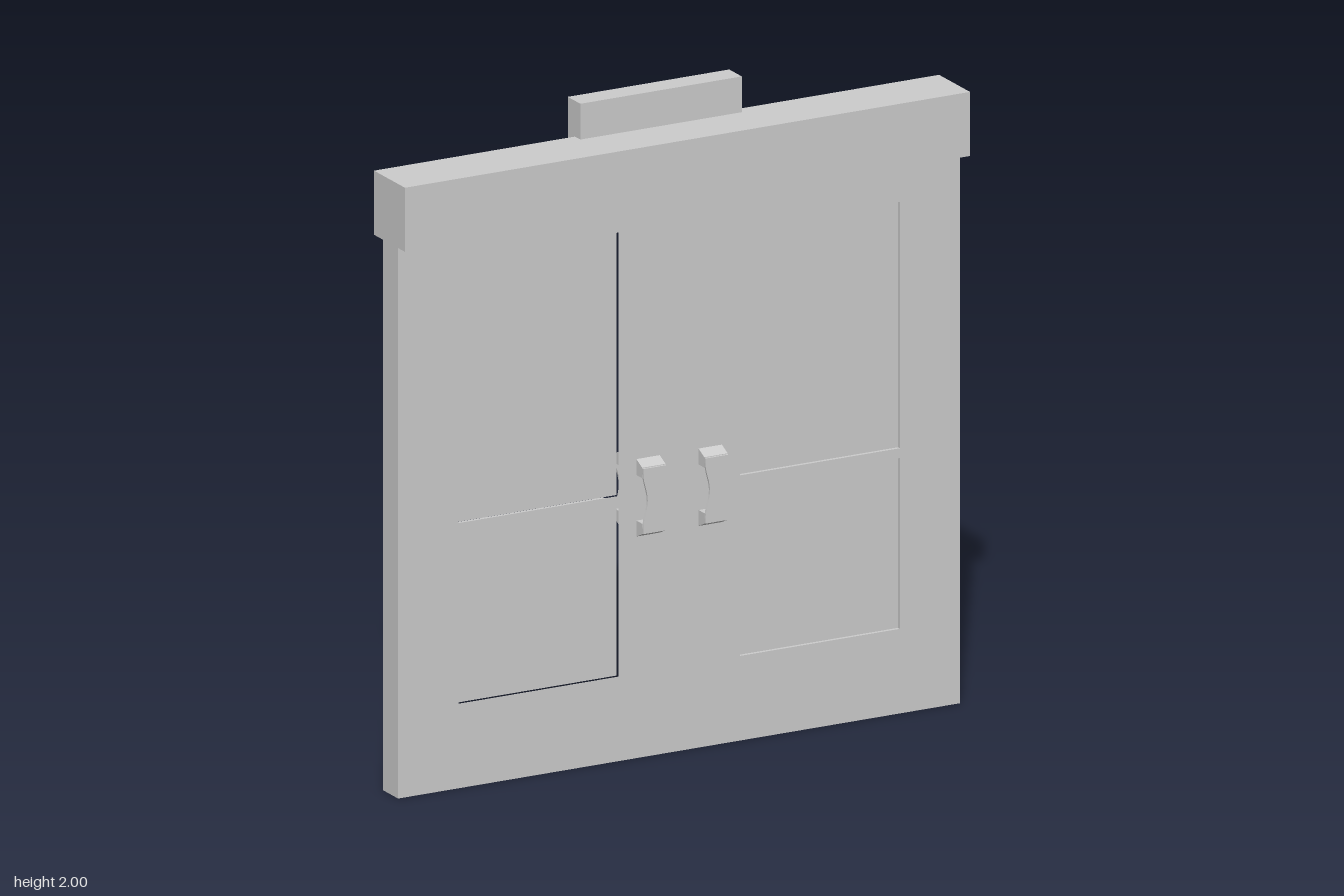
import * as THREE from 'three';

const material = new THREE.MeshStandardMaterial({ color: 0xcccccc, flatShading: true });

const BACK = -0.022, FRONT = 0.07, RECESS = 0.011, AXIS = -0.003;

function add(parent, name, geometry) {
  const mesh = new THREE.Mesh(geometry, material);
  mesh.name = name;
  parent.add(mesh);
  return mesh;
}

// Box given by its lower and upper corners
function box(parent, name, [x0, y0, z0], [x1, y1, z1]) {
  const mesh = add(parent, name, new THREE.BoxGeometry(x1 - x0, y1 - y0, z1 - z0));
  mesh.position.set((x0 + x1) / 2, (y0 + y1) / 2, (z0 + z1) / 2);
  return mesh;
}

function extrude(points, depth, holes = []) {
  const vectors = (list) => list.map(([x, y]) => new THREE.Vector2(x, y));
  const shape = new THREE.Shape(vectors(points));
  holes.forEach((hole) => shape.holes.push(new THREE.Path(vectors(hole))));
  return new THREE.ExtrudeGeometry(shape, { depth, bevelEnabled: false });
}

// Door leaf: a frame with two openings, each filled by a panel sunk on both faces
function doorLeaf(side) {
  const leaf = new THREE.Group();
  leaf.name = side > 0 ? 'leftDoor' : 'rightDoor';
  const mirror = (list) => list.map(([x, y]) => [x * side, y]);
  const upper = mirror([[0.203, 0.815], [0.738, 0.815], [0.738, 1.572], [0.203, 1.625]]);
  const lower = mirror([[0.203, 0.26], [0.738, 0.26], [0.738, 0.785], [0.203, 0.785]]);
  const outline = mirror([[0, 0], [0.94, 0], [0.94, 1.7], [0, 1.7]]);
  add(leaf, 'doorFrame', extrude(outline, FRONT - BACK, [upper, lower])).position.z = BACK;
  const panelDepth = FRONT - BACK - 2 * RECESS;
  add(leaf, 'upperPanel', extrude(upper, panelDepth)).position.z = BACK + RECESS;
  add(leaf, 'lowerPanel', extrude(lower, panelDepth)).position.z = BACK + RECESS;
  return leaf;
}

// Pull handle, standing off along +z and centred on its own middle
function pullHandle() {
  const handle = new THREE.Group();
  handle.name = 'handle';
  const half = 0.039, reach = 0.042, thick = 0.007;

  // Sloped end brackets
  for (const s of [1, -1]) {
    const profile = [[0, 0.07], [reach - thick, 0.07], [reach - thick, 0.102], [0, 0.119]];
    const geometry = extrude(profile.map(([z, y]) => [-z, y * s]), 2 * half);
    geometry.rotateY(Math.PI / 2).translate(-half, 0, 0);
    add(handle, s > 0 ? 'topBracket' : 'bottomBracket', geometry);
  }

  // Waisted grip plate
  const edge = [[half, -0.1], [half, -0.085]];
  for (let i = 1; i < 12; i++) {
    const y = -0.085 + (0.17 * i) / 12;
    edge.push([half - 0.0075 * (1 + Math.cos((Math.PI * y) / 0.085)), y]);
  }
  edge.push([half, 0.085], [half, 0.1]);
  const outline = [...edge, ...edge.map(([x, y]) => [-x, y]).reverse()];
  add(handle, 'grip', extrude(outline, thick)).position.z = reach - thick;
  return handle;
}

export function createModel() {
  const model = new THREE.Group();
  model.name = 'doubleDoor';

  // Doors with a handle on each face
  for (const side of [1, -1]) {
    const leaf = doorLeaf(side);
    leaf.position.x = AXIS;
    for (const face of [1, -1]) {
      const handle = pullHandle();
      handle.name = face > 0 ? 'frontHandle' : 'backHandle';
      handle.position.set(0.104 * side, 0.8, face > 0 ? FRONT : BACK);
      if (face < 0) handle.rotation.y = Math.PI;
      leaf.add(handle);
    }
    model.add(leaf);
  }

  // Lintel over the doors and the plate fixed behind it
  box(model, 'lintel', [-0.945, 1.693, -0.072], [0.945, 1.89, 0.115]);
  box(model, 'topPlate', [-0.273, 1.778, -0.115], [0.267, 2, -0.039]);
  return model;
}
